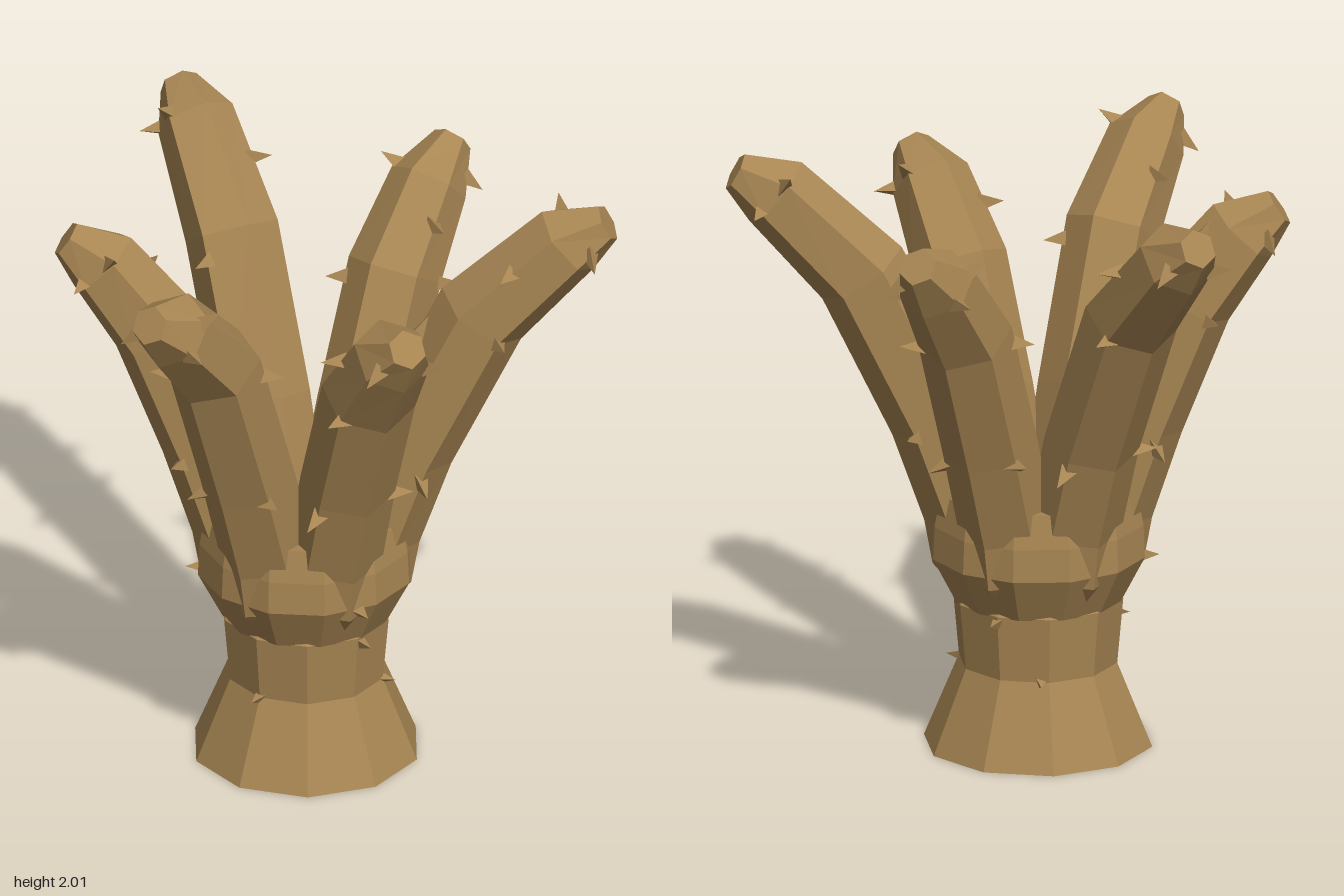
import * as THREE from 'three';

const SIDES = 6;
const CENTRE_Z = -0.025;

export function createModel() {
  const bark = new THREE.MeshStandardMaterial({ color: 0xa88653 });
  bark.name = 'brown bark';
  const model = new THREE.Group();
  model.name = 'thornyBranchingStem';

  // Splits every face so that it shades flat
  const facet = (geometry) => {
    const flat = geometry.index ? geometry.toNonIndexed() : geometry;
    flat.computeVertexNormals();
    return flat;
  };
  const addPart = (parent, name, geometry) => {
    const mesh = new THREE.Mesh(facet(geometry), bark);
    mesh.name = name;
    parent.add(mesh);
    return mesh;
  };
  const lathe = (points, sides) =>
    new THREE.LatheGeometry(points.map(([r, y]) => new THREE.Vector2(r, y)), sides);

  // Small hooked thorn, pointing along a direction
  const addThorn = (parent, position, direction, spin, size = 1) => {
    const geometry = new THREE.ConeGeometry(0.034 * size, 0.085 * size, 3);
    geometry.translate(0, 0.02 * size, 0);
    const thorn = addPart(parent, 'thorn', geometry);
    thorn.position.copy(position);
    thorn.quaternion.setFromUnitVectors(new THREE.Vector3(0, 1, 0), direction.clone().normalize());
    thorn.rotateY(spin);
  };

  // Flared foot and waist
  const trunk = addPart(model, 'trunk', lathe(
    [[0, 0], [0.375, 0], [0.26, 0.28], [0.28, 0.5], [0.2, 0.6]], 10));
  trunk.position.z = CENTRE_Z;

  // Swollen crown where the branches start
  const crown = addPart(model, 'crown', lathe(
    [[0.15, 0.49], [0.275, 0.495], [0.355, 0.65], [0.35, 0.76], [0.33, 0.87], [0, 0.85]], 12));
  crown.position.z = CENTRE_Z;
  crown.rotation.y = Math.PI / 12;

  // Cross-sections along a branch: distance from the axis, height, radius
  const branchRings = (path) => {
    const rings = [[0.165, 0.54, 0.1], [0.19, 0.64, 0.155], [0.22, 0.8, 0.155], ...path];
    return rings.map(([r, y, radius], i) => {
      const a = rings[Math.max(i - 1, 0)], b = rings[Math.min(i + 1, rings.length - 1)];
      const tangent = new THREE.Vector2(b[0] - a[0], b[1] - a[1]).normalize();
      return Array.from({ length: SIDES }, (_, k) => {
        const angle = (k / SIDES) * Math.PI * 2;
        const out = Math.cos(angle) * radius;
        return new THREE.Vector3(
          r + tangent.y * out, y - tangent.x * out, Math.sin(angle) * radius);
      });
    });
  };

  const branchGeometry = (rings) => {
    const points = rings.flat();
    const index = [];
    for (let i = 0; i < rings.length - 1; i++) {
      for (let k = 0; k < SIDES; k++) {
        const a = i * SIDES + k, b = i * SIDES + (k + 1) % SIDES;
        index.push(a, a + SIDES, b, b, a + SIDES, b + SIDES);
      }
    }
    // Blunt tip
    const last = (rings.length - 1) * SIDES;
    for (let k = 1; k < SIDES - 1; k++) index.push(last, last + k + 1, last + k);
    const geometry = new THREE.BufferGeometry().setFromPoints(points);
    geometry.setIndex(index);
    return geometry;
  };

  // Thorns on a branch: ring, fraction to the next ring, corner
  const thornSpots = [
    [2, 0.85, 1], [3, 0.0, 5], [3, 0.85, 4], [4, 0.0, 1], [4, 0.55, 2], [5, 0.1, 5], [5, 0.4, 1], [5, 0.1, 4],
  ];

  const addBranch = (name, degrees, path) => {
    const branch = new THREE.Group();
    branch.name = name;
    branch.position.z = CENTRE_Z;
    branch.rotation.y = THREE.MathUtils.degToRad(degrees);
    model.add(branch);
    const rings = branchRings(path);
    addPart(branch, name + 'Stem', branchGeometry(rings));
    thornSpots.forEach(([i, f, k], n) => {
      const at = rings[i][k].clone().lerp(rings[i + 1][k], f);
      const opposite = rings[i][(k + 3) % SIDES].clone().lerp(rings[i + 1][(k + 3) % SIDES], f);
      const direction = at.clone().sub(opposite).normalize();
      direction.y += n % 2 ? 0.3 : -0.3;
      addThorn(branch, at, direction, n * 1.3);
    });
  };

  const backSide = [[0.33, 1.11, 0.155], [0.57, 1.6, 0.155], [0.85, 1.88, 0.13], [0.98, 1.95, 0.065]];
  const frontSide = [[0.32, 1.1, 0.155], [0.48, 1.5, 0.155], [0.66, 1.73, 0.13], [0.78, 1.81, 0.065]];
  addBranch('frontBranch', -90,
    [[0.325, 1.11, 0.155], [0.515, 1.6, 0.155], [0.745, 1.83, 0.13], [0.88, 1.905, 0.065]]);
  addBranch('backBranch', 90,
    [[0.33, 1.1, 0.155], [0.5, 1.52, 0.155], [0.69, 1.755, 0.13], [0.825, 1.855, 0.065]]);
  addBranch('frontLeftBranch', -30, frontSide);
  addBranch('frontRightBranch', -150, frontSide);
  addBranch('backLeftBranch', 30, backSide);
  addBranch('backRightBranch', 150, backSide);

  // Thorns on the trunk and crown: angle from the front, height, radius
  [[0, 0.28, 0.255], [75, 0.48, 0.275], [108, 0.28, 0.25], [180, 0.48, 0.275],
    [-85, 0.48, 0.27], [-150, 0.28, 0.25], [-60, 0.63, 0.34], [65, 0.64, 0.35],
  ].forEach(([degrees, y, r], n) => {
    const a = THREE.MathUtils.degToRad(degrees);
    const direction = new THREE.Vector3(Math.sin(a), 0, Math.cos(a));
    const at = direction.clone().multiplyScalar(r).add(new THREE.Vector3(0, y, CENTRE_Z));
    addThorn(model, at, direction, n * 1.1, 0.85);
  });

  return model;
}
